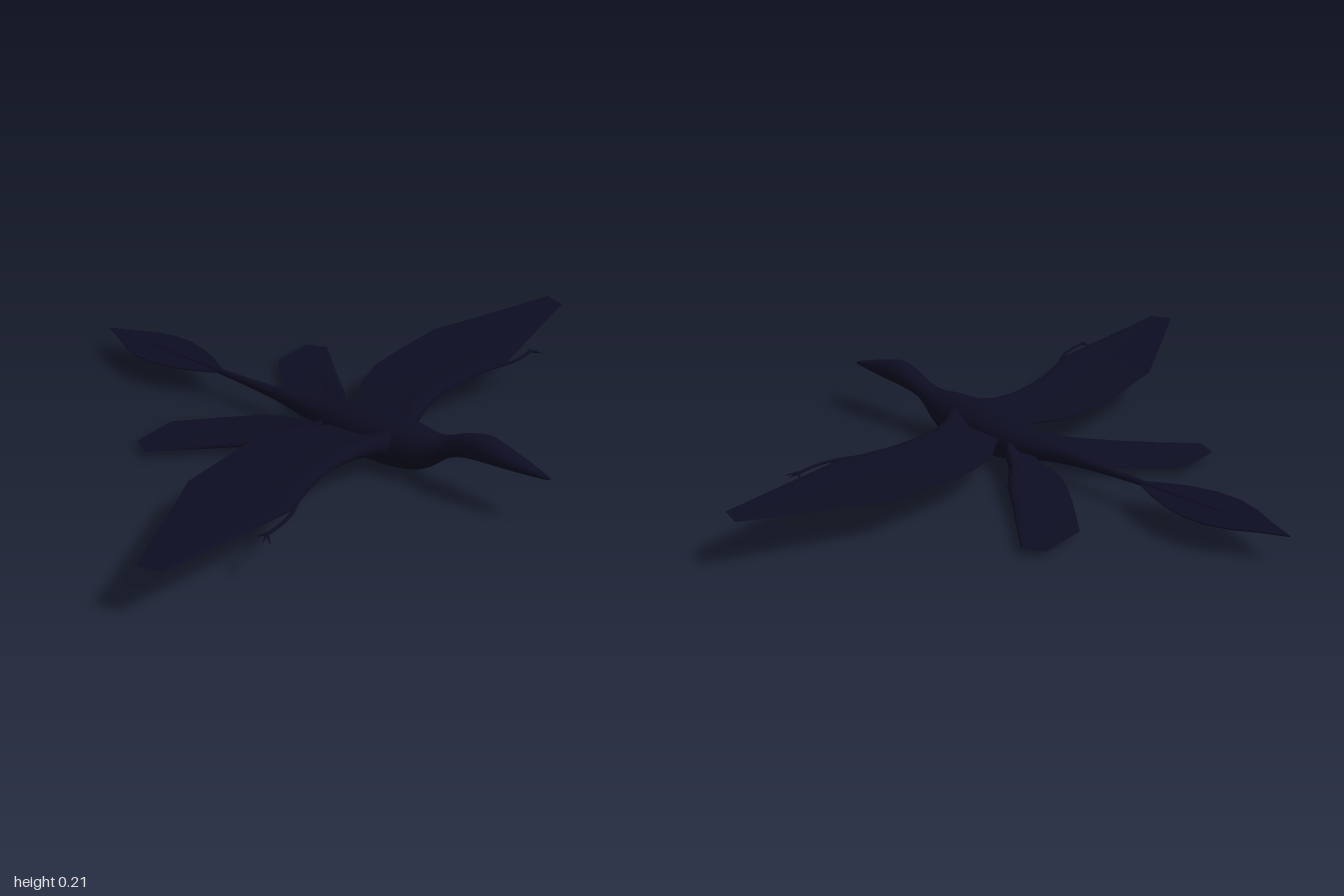
import * as THREE from 'three';

const plumage = new THREE.MeshStandardMaterial({ color: 0x0d0d22, side: THREE.DoubleSide });
plumage.name = 'midnightPlumage';

function named(geometry, name) {
  const mesh = new THREE.Mesh(geometry, plumage);
  mesh.name = name;
  return mesh;
}

// Skin a list of closed rings (equal point counts), capping both ends.
function loft(rings) {
  const n = rings[0].length, pos = [], idx = [];
  rings.forEach(r => r.forEach(p => pos.push(...p)));
  for (let i = 0; i < rings.length - 1; i++)
    for (let j = 0; j < n; j++) {
      const a = i * n + j, b = i * n + (j + 1) % n;
      idx.push(a, b, a + n, b, b + n, a + n);
    }
  const last = (rings.length - 1) * n;
  for (let j = 1; j < n - 1; j++) idx.push(0, j + 1, j, last, last + j, last + j + 1);
  const g = new THREE.BufferGeometry();
  g.setAttribute('position', new THREE.Float32BufferAttribute(pos, 3));
  g.setIndex(idx);
  g.computeVertexNormals();
  return g;
}

// Smoothly interpolate rows of numbers.
function resample(rows, steps) {
  const out = [], n = rows.length - 1;
  const at = i => rows[Math.max(0, Math.min(n, i))];
  for (let s = 0; s <= n * steps; s++) {
    const i = Math.min(Math.floor(s / steps), n - 1), t = s / steps - i;
    out.push(rows[0].map((_, k) => {
      const [a, b, c, d] = [at(i - 1)[k], at(i)[k], at(i + 1)[k], at(i + 2)[k]];
      return b + 0.5 * t * (c - a + t * (2 * a - 5 * b + 4 * c - d + t * (3 * (b - c) + d - a)));
    }));
  }
  return out;
}

// Elliptical body rings: [z, bottom y, top y, half width], tail to snout.
function bodyGeometry(rows) {
  return loft(resample(rows, 3).map(([z, lo, hi, w]) => {
    const ring = [];
    for (let j = 0; j < 20; j++) {
      const a = -j / 20 * Math.PI * 2;
      ring.push([w * Math.cos(a), (lo + hi) / 2 + (hi - lo) / 2 * Math.sin(a), z]);
    }
    return ring;
  }));
}

// Limb with a thick leading edge and a thin feathered trailing edge.
// Stations: [lead x, lead y, lead z, trail x, trail y, trail z, thickness].
const profile = [[0, 0], [0.04, 0.36], [0.13, 0.5], [0.28, 0.32], [0.45, 0.1], [1, 0.03],
  [1, -0.03], [0.45, -0.1], [0.28, -0.32], [0.13, -0.5], [0.04, -0.36]];
function limbGeometry(stations, side) {
  return loft(stations.map(([ax, ay, az, bx, by, bz, t]) =>
    profile.map(([u, v]) => [
      side * (ax + (bx - ax) * u), ay + (by - ay) * u + v * t, az + (bz - az) * u])));
}

const wing = [
  [0.00, 0.105, 0.37, 0.00, 0.10, 0.17, 0.09],
  [0.06, 0.105, 0.37, 0.06, 0.10, 0.155, 0.08],
  [0.11, 0.108, 0.345, 0.11, 0.105, 0.125, 0.055],
  [0.18, 0.112, 0.326, 0.19, 0.11, 0.07, 0.042],
  [0.26, 0.118, 0.322, 0.30, 0.118, 0.045, 0.034],
  [0.35, 0.123, 0.330, 0.42, 0.124, 0.05, 0.028],
  [0.44, 0.128, 0.352, 0.60, 0.133, 0.065, 0.025],
  [0.53, 0.132, 0.378, 0.68, 0.138, 0.105, 0.019],
  [0.75, 0.147, 0.354, 0.82, 0.149, 0.172, 0.006],
  [0.975, 0.163, 0.33, 1.0, 0.165, 0.26, 0.002]];
const leg = [
  [0.02, 0.08, 0.14, 0.02, 0.075, 0.04, 0.07],
  [0.08, 0.068, 0.115, 0.05, 0.062, 0.01, 0.06],
  [0.14, 0.052, 0.045, 0.04, 0.048, -0.05, 0.048],
  [0.20, 0.042, 0.00, 0.08, 0.04, -0.13, 0.035],
  [0.28, 0.036, -0.09, 0.14, 0.035, -0.2, 0.024],
  [0.36, 0.031, -0.175, 0.20, 0.031, -0.265, 0.014],
  [0.435, 0.028, -0.255, 0.26, 0.029, -0.325, 0.005],
  [0.437, 0.028, -0.258, 0.41, 0.028, -0.325, 0.002]];

// Slim pointed claw between two points.
function claw(from, to, radius) {
  const a = new THREE.Vector3(...from), d = new THREE.Vector3(...to).sub(a);
  const g = new THREE.ConeGeometry(radius, d.length(), 6);
  g.translate(0, d.length() / 2, 0);
  g.applyQuaternion(new THREE.Quaternion().setFromUnitVectors(
    new THREE.Vector3(0, 1, 0), d.normalize()));
  return named(g.translate(a.x, a.y, a.z), 'claw');
}

export function createModel() {
  const model = new THREE.Group();
  model.name = 'glidingFeatheredDinosaur';

  // Torso, neck, head and bony tail in one continuous skin
  model.add(named(bodyGeometry([
    [-0.64, 0.084, 0.094, 0.005], [-0.36, 0.079, 0.097, 0.009],
    [-0.2, 0.072, 0.103, 0.015], [-0.07, 0.06, 0.113, 0.023],
    [0.04, 0.042, 0.128, 0.045], [0.13, 0.018, 0.146, 0.07],
    [0.22, 0.006, 0.16, 0.077], [0.32, 0.006, 0.165, 0.076],
    [0.41, 0.02, 0.163, 0.064], [0.47, 0.05, 0.158, 0.046],
    [0.52, 0.095, 0.17, 0.032], [0.57, 0.12, 0.194, 0.033],
    [0.64, 0.133, 0.213, 0.04], [0.70, 0.138, 0.201, 0.035],
    [0.77, 0.143, 0.182, 0.023], [0.83, 0.148, 0.164, 0.01],
    [0.85, 0.151, 0.156, 0.003]]), 'body'));

  // Flat leaf-shaped feather fan at the end of the tail
  const half = [[0.012, -0.35], [0.045, -0.41], [0.075, -0.48], [0.093, -0.56],
    [0.092, -0.63], [0.072, -0.70], [0.035, -0.77]];
  const fan = new THREE.Shape([...half, [0, -0.85], ...half.map(([x, z]) => [-x, z]).reverse()]
    .map(([x, z]) => new THREE.Vector2(x, -z)));
  const fanGeometry = new THREE.ExtrudeGeometry(fan, { depth: 0.004, bevelEnabled: false });
  fanGeometry.rotateX(-Math.PI / 2).translate(0, 0.086, 0);
  model.add(named(fanGeometry, 'tailFan'));

  for (const side of [1, -1]) {
    const label = side > 0 ? 'left' : 'right';
    model.add(named(limbGeometry(wing, side), label + 'Wing'));
    model.add(named(limbGeometry(leg, side), label + 'LegFeathers'));

    // Hand with three claws, free of the wing's leading edge
    const hand = new THREE.Group();
    hand.name = label + 'Hand';
    const finger = new THREE.CatmullRomCurve3([[0.47, 0.131, 0.352], [0.54, 0.134, 0.385],
      [0.60, 0.135, 0.397], [0.665, 0.135, 0.398]]
      .map(([x, y, z]) => new THREE.Vector3(side * x, y, z)));
    hand.add(named(new THREE.TubeGeometry(finger, 12, 0.005, 6), 'finger'));
    for (const [x0, z0, x1, z1] of [[0.655, 0.398, 0.682, 0.372],
      [0.66, 0.398, 0.692, 0.408], [0.66, 0.4, 0.686, 0.432]])
      hand.add(claw([side * x0, 0.135, z0], [side * x1, 0.126, z1], 0.005));
    model.add(hand);
  }
  return model;
}
